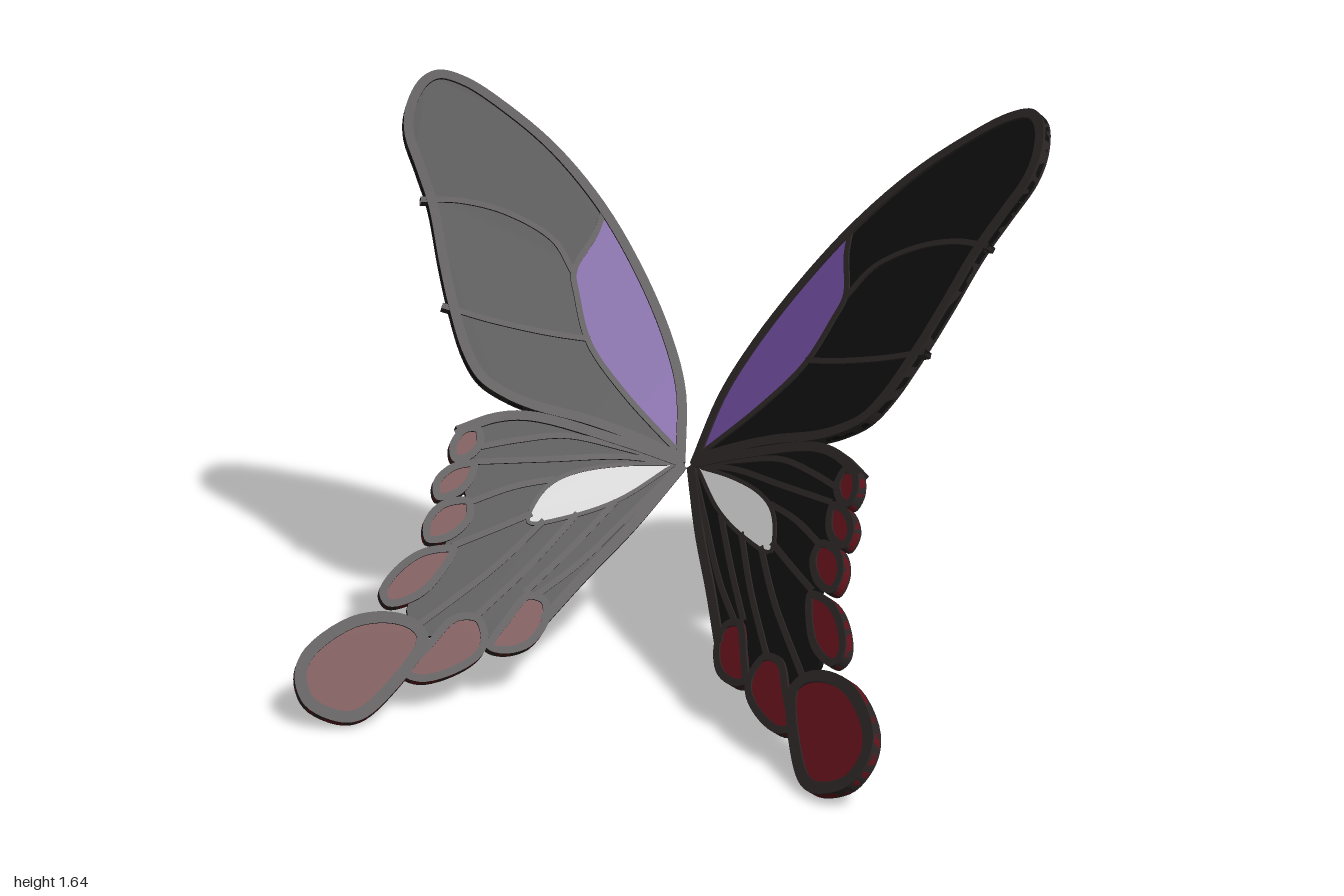
import * as THREE from 'three';

const mat = (color) => new THREE.MeshStandardMaterial({ color, side: THREE.DoubleSide });
const MATS = {
  rim: mat(0x2a2424), membrane: mat(0x0e0e0e), purple: mat(0x6a4796),
  pale: mat(0xcccccc), red: mat(0x5e1119),
};

// Outlines as seen from the front, for the left (+x) wing
const FORE = [[.015, .55], [.06, .73], [.13, .87], [.25, 1.05], [.40, 1.235], [.57, 1.40], [.73, 1.52], [.86, 1.60],
  [.94, 1.625], [.98, 1.605], [.997, 1.535], [.98, 1.46], [.92, 1.36], [.86, 1.26], [.79, 1.11], [.73, .99],
  [.66, .87], [.60, .80], [.52, .75], [.44, .715], [.30, .67], [.15, .61], [.015, .545]];
const PURPLE = [[.03, .58], [.06, .70], [.13, .85], [.25, 1.03], [.40, 1.22], [.405, 1.16], [.435, 1.065], [.41, 1.0],
  [.345, .875], [.22, .74], [.03, .58]];
const FORE_VEINS = [
  [[.40, 1.22], [.405, 1.16], [.435, 1.065], [.41, 1.0], [.345, .875], [.22, .74], [.03, .57]],
  [[.435, 1.06], [.51, 1.15], [.65, 1.23], [.78, 1.27], [.885, 1.28]],
  [[.345, .885], [.46, .91], [.62, .955], [.75, 1.0]],
];
const HIND = [[.015, .55], [.20, .62], [.44, .71], [.57, .705], [.60, .68], [.56, .64], [.58, .57], [.545, .50], [.57, .41],
  [.59, .33], [.62, .26], [.57, .20], [.53, .19], [.46, .21], [.41, .17], [.35, .22], [.275, .20], [.20, .29],
  [.11, .40], [.05, .48], [.015, .54]];
const PALE = [[.04, .55], [.17, .56], [.28, .555], [.34, .535], [.37, .50], [.378, .44], [.28, .443], [.16, .475], [.04, .55]];
const HIND_VEINS = [
  [[.02, .55], [.20, .62], [.44, .70], [.53, .705], [.62, .68]],
  [[.02, .545], [.11, .41], [.20, .30], [.275, .20]],
  [[.03, .55], [.18, .60], [.34, .645], [.46, .645], [.56, .635]],
  [[.03, .55], [.18, .58], [.36, .59], [.55, .60]],
  [[.34, .54], [.44, .53], [.545, .50]],
  [[.375, .46], [.46, .43], [.55, .40]],
  [[.34, .44], [.43, .34], [.58, .22]],
  [[.26, .45], [.34, .34], [.45, .22]],
  [[.17, .47], [.25, .37], [.34, .27]],
  [[.03, .54], [.12, .44], [.22, .33], [.31, .26]],
];
// Red cells along the scalloped edge, the largest being the tail
const CELLS = [
  [[.565, .685], [.61, .69], [.63, .645], [.61, .605], [.57, .605], [.545, .64]],
  [[.55, .60], [.61, .60], [.645, .56], [.625, .515], [.57, .52], [.545, .555]],
  [[.54, .51], [.61, .51], [.64, .465], [.62, .415], [.56, .415], [.52, .465]],
  [[.54, .395], [.62, .40], [.68, .36], [.70, .305], [.67, .27], [.60, .28], [.555, .33]],
  [[.545, .18], [.58, .225], [.65, .255], [.75, .255], [.84, .19], [.845, .13], [.80, .06], [.71, .014], [.655, .012], [.60, .06]],
  [[.40, .17], [.435, .225], [.50, .235], [.55, .175], [.59, .11], [.54, .085], [.46, .095], [.405, .13]],
  [[.26, .20], [.28, .25], [.335, .27], [.375, .215], [.40, .15], [.355, .13], [.29, .14]],
];

// Strip of rectangular section from offset a to b beside a flat path
function strip(pts, a, b, h, closed) {
  const n = pts.length, pos = [], idx = [];
  pts.forEach((p, i) => {
    const prev = pts[closed ? (i + n - 1) % n : Math.max(i - 1, 0)];
    const next = pts[closed ? (i + 1) % n : Math.min(i + 1, n - 1)];
    const t = next.clone().sub(prev).normalize();
    for (const [o, z] of [[b, -h], [b, h], [a, h], [a, -h]]) pos.push(p.x - t.y * o, p.y + t.x * o, z);
  });
  for (let i = 0; i < (closed ? n : n - 1); i++) {
    const j = (i + 1) % n;
    for (let k = 0; k < 4; k++) {
      const l = (k + 1) % 4;
      idx.push(i * 4 + k, i * 4 + l, j * 4 + l, i * 4 + k, j * 4 + l, j * 4 + k);
    }
  }
  const g = new THREE.BufferGeometry();
  g.setAttribute('position', new THREE.Float32BufferAttribute(pos, 3));
  g.setIndex(idx);
  const flat = g.toNonIndexed();
  flat.computeVertexNormals();
  return flat;
}

function plate(pts, h) {
  const g = new THREE.ExtrudeGeometry(new THREE.Shape(pts), { depth: 2 * h, bevelEnabled: false });
  return g.translate(0, 0, -h);
}

function buildWing(s) {
  const wing = new THREE.Group();
  wing.name = s > 0 ? 'leftWing' : 'rightWing';

  // Tilted wing plane: z = -0.30 + 0.71|x| - 0.92(y - 0.54)
  const e1 = new THREE.Vector3(1, 0, 0.71 * s).normalize();
  const normal = new THREE.Vector3(-0.71 * s, 0.92, 1).normalize();
  const e2 = normal.clone().cross(e1);
  const origin = new THREE.Vector3(0, 0.54, -0.30);
  const frame = new THREE.Matrix4().makeBasis(e1, e2, normal).setPosition(origin);

  // Smooth curve through front-view points, laid in the wing plane
  const path = (list, closed, samples) => {
    const flat = list.map(([x, y]) => {
      const v = new THREE.Vector3(s * x, y - 0.54, 0.71 * x - 0.92 * (y - 0.54));
      return new THREE.Vector3(v.dot(e1), v.dot(e2), 0);
    });
    const pts = new THREE.CatmullRomCurve3(flat, closed, 'centripetal').getPoints(samples || list.length * 5);
    if (closed) pts.pop();
    return pts.map((p) => new THREE.Vector2(p.x, p.y));
  };
  const add = (name, geometry, material) => {
    const mesh = new THREE.Mesh(geometry.applyMatrix4(frame), material);
    mesh.name = name;
    wing.add(mesh);
  };
  const rim = (pts, w, h) => {
    const d = THREE.ShapeUtils.area(pts) > 0 ? w : -w;
    return strip(pts, Math.min(0, d), Math.max(0, d), h, true);
  };

  // Forewing
  const fore = path(FORE, false);
  fore.pop();
  add('forewingMembrane', plate(fore, 0.009), MATS.membrane);
  add('forewingRim', rim(fore, 0.03, 0.018), MATS.rim);
  add('forewingPatch', plate(path(PURPLE, false).slice(0, -1), 0.012), MATS.purple);
  FORE_VEINS.forEach((v) => add('forewingVein', strip(path(v, false), -0.009, 0.009, 0.015, false), MATS.rim));

  // Hindwing
  add('hindwingMembrane', plate(path(HIND, true), 0.009), MATS.membrane);
  const pale = path(PALE, false).slice(0, -1);
  add('hindwingPatch', plate(pale, 0.012), MATS.pale);
  add('hindwingPatchRim', strip(pale, -0.006, 0.006, 0.015, true), MATS.rim);
  HIND_VEINS.forEach((v, i) => {
    const w = i < 2 ? 0.015 : 0.009;
    add(i < 2 ? 'hindwingRim' : 'hindwingVein', strip(path(v, false), -w, w, i < 2 ? 0.018 : 0.015, false), MATS.rim);
  });

  // Scalloped edge cells
  CELLS.forEach((c, i) => {
    const name = i === 4 ? 'tail' : 'edgeCell';
    const pts = path(c, true);
    add(name, plate(pts, 0.012), MATS.red);
    add(name + 'Rim', rim(pts, i === 4 ? 0.034 : 0.022, 0.018), MATS.rim);
  });
  return wing;
}

export function createModel() {
  const model = new THREE.Group();
  model.name = 'butterflyWings';
  model.add(buildWing(1), buildWing(-1));
  return model;
}
